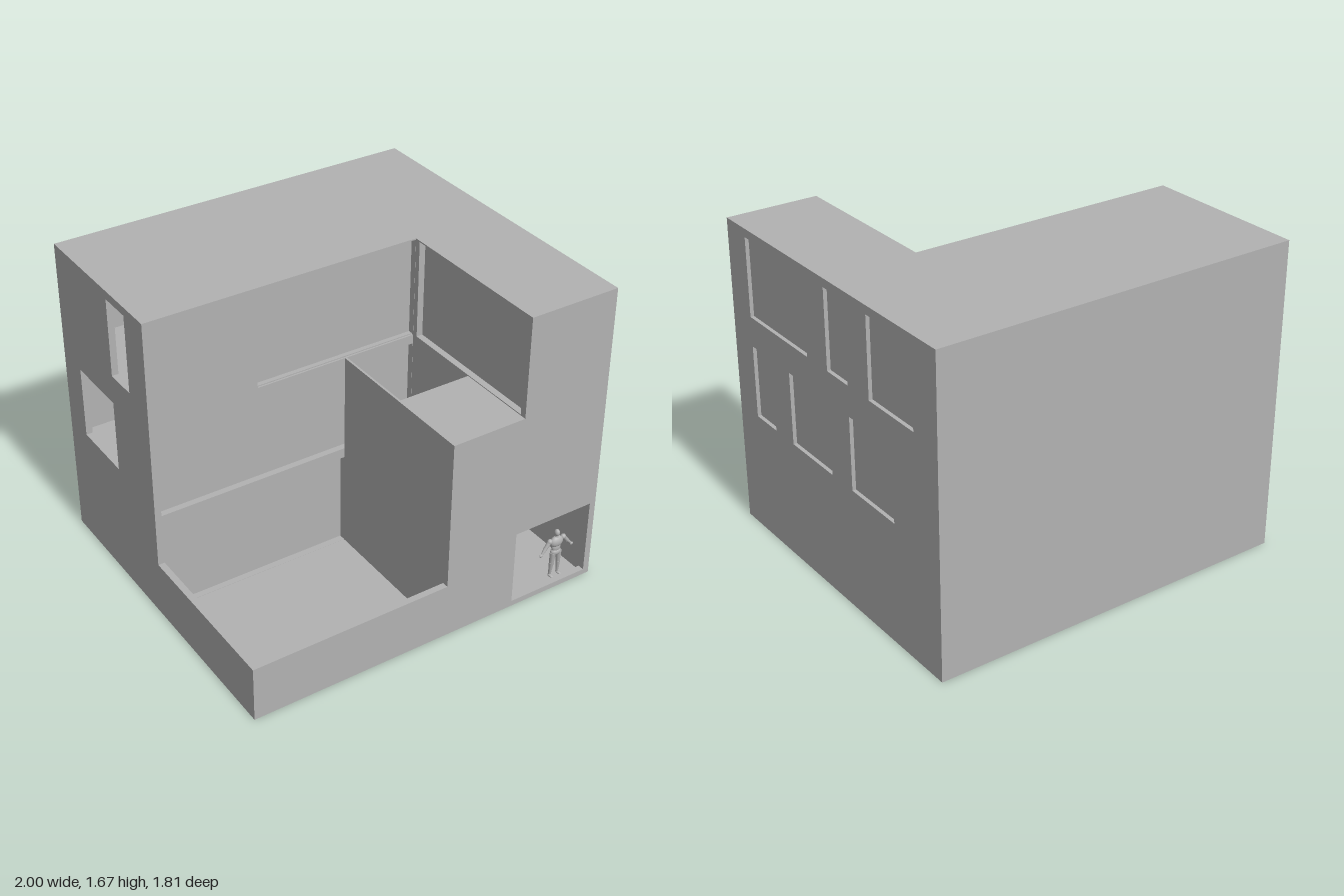
import * as THREE from 'three';

const D = 0.905;   // half depth
const T = 0.035;   // wall thickness
const ROOF = 1.675;

export function createModel() {
  const model = new THREE.Group();
  model.name = 'house';
  const gray = new THREE.MeshStandardMaterial({ color: 0xb2b2b2 });
  gray.name = 'plaster gray';

  const add = (name, geo, parent = model) => {
    const mesh = new THREE.Mesh(geo, gray);
    mesh.name = name;
    parent.add(mesh);
    return mesh;
  };
  // Box given by its limits on each axis
  const box = (name, x0, x1, y0, y1, z0, z1) => {
    const g = new THREE.BoxGeometry(x1 - x0, y1 - y0, z1 - z0);
    return add(name, g.translate((x0 + x1) / 2, (y0 + y1) / 2, (z0 + z1) / 2));
  };
  const toShape = (pts) => new THREE.Shape(pts.map(([a, b]) => new THREE.Vector2(a, b)));
  const rect = ([a0, a1, b0, b1]) => [[a0, b0], [a1, b0], [a1, b1], [a0, b1]];
  const extrude = (pts, holes, depth) => {
    const shape = toShape(pts);
    holes.forEach((h) => shape.holes.push(toShape(rect(h))));
    return new THREE.ExtrudeGeometry(shape, { depth, bevelEnabled: false });
  };
  // Wall facing z: outline in (x, y)
  const wallZ = (name, z, pts, holes = []) =>
    add(name, extrude(pts, holes, T).translate(0, 0, z));
  // Wall facing x: outline in (z, y)
  const wallX = (name, x, pts, holes = [], t = T) => {
    const flip = pts.map(([z, y]) => [-z, y]);
    const flipHoles = holes.map(([z0, z1, y0, y1]) => [-z1, -z0, y0, y1]);
    return add(name, extrude(flip, flipHoles, t).rotateY(Math.PI / 2).translate(x, 0, 0));
  };

  // Outer walls
  wallZ('frontWall', D - T, [[-1, 0], [1, 0], [1, ROOF], [0.5, ROOF], [0.5, 1.13],
    [0.09, 1.13], [0.09, 0.305], [-1, 0.305]], [[0.5, 0.97, 0.03, 0.45]]);
  wallZ('backWall', -D, rect([-1, 1, 0, ROOF]));
  wallX('leftWall', -1, [[-D, 0], [D, 0], [D, 0.305], [0, 0.305], [0, ROOF], [-D, ROOF]],
    [[-0.36, -0.18, 1.21, 1.63], [-0.73, -0.37, 0.66, 1.05]]);

  // Right wall with closed, recessed windows
  const windows = [
    [0.18, 0.73, 1.21, 1.63], [-0.18, 0, 1.21, 1.63], [-0.72, -0.36, 1.21, 1.63],
    [0.54, 0.73, 0.66, 1.05], [0, 0.37, 0.66, 1.05], [-0.54, -0.18, 0.66, 1.05],
  ];
  wallX('rightWall', 1 - T, rect([-D, D, 0, ROOF]), windows);
  windows.forEach(([z0, z1, y0, y1]) => box('windowPane', 0.967, 0.98, y0, y1, z0, z1));

  // Courtyard wall with three recessed openings, one per storey
  const openings = [
    [-0.97, 0.09, 0.006, 0.535], [-0.97, 0.499, 0.59, 1.08], [-0.41, 0.499, 1.13, 1.668],
  ];
  wallZ('courtyardWall', -T, rect([-0.999, 0.97, 0, 1.672]), openings);
  openings.forEach(([x0, x1, y0, y1]) =>
    box('glassWall', x0 - 0.005, x1 + 0.01, y0, y1, -T - 0.008, -T));

  // Inner side of the right wing: upper wall with a wide recessed opening
  wallX('upperWingWall', 0.5, rect([0, D - 0.001, 0.54, 1.672]), [[0.03, 0.87, 1.135, 1.668]]);
  box('upperWingPane', 0.535, 0.543, 1.12, 1.67, 0.02, 0.875);
  wallX('terraceSideWall', 0.09, rect([0, D - T, 0, 1.13]), [], 0.012);

  // Floors and balcony
  box('groundFloor', -0.99, 0.99, 0, 0.005, -D + 0.01, D - 0.01);
  for (const y of [0.535, 1.08]) {
    box('backFloorSlab', -0.97, 0.97, y, y + 0.055, -D + T, -0.01);
    box('wingFloorSlab', 0.5, 0.97, y, y + 0.05, -0.01, D - T);
  }
  box('balcony', 0.1, 0.51, 1.08, 1.13, 0.46, D - T);

  // L-shaped roof, laid flat from an outline in (x, -z)
  const roof = extrude([[-1, 0], [0.5, 0], [0.5, -D], [1, -D], [1, D], [-1, D]], [], 0.006);
  add('roof', roof.rotateX(-Math.PI / 2).translate(0, ROOF - 0.006, 0));

  // Standing person with arms held away from the body
  const person = new THREE.Group();
  person.name = 'person';
  person.position.set(0.833, 0.005, 0.83);
  model.add(person);
  const ball = (name, x, y, z, rx, ry, rz) =>
    add(name, new THREE.SphereGeometry(1, 14, 10).scale(rx, ry, rz).translate(x, y, z), person);
  const limb = (name, a, b, r0, r1) => {
    const from = new THREE.Vector3(...a), to = new THREE.Vector3(...b);
    const dir = to.clone().sub(from);
    const mesh = add(name, new THREE.CylinderGeometry(r1, r0, dir.length(), 10), person);
    mesh.position.copy(from).add(to).multiplyScalar(0.5);
    mesh.quaternion.setFromUnitVectors(new THREE.Vector3(0, 1, 0), dir.normalize());
  };
  ball('head', 0, 0.27, 0, 0.014, 0.02, 0.016);
  limb('neck', [0, 0.235, 0], [0, 0.26, 0], 0.011, 0.008);
  ball('chest', 0, 0.215, 0, 0.04, 0.033, 0.022);
  ball('waist', 0, 0.18, 0, 0.027, 0.03, 0.017);
  ball('hips', 0, 0.153, 0, 0.032, 0.022, 0.02);
  for (const s of [-1, 1]) {
    ball('shoulder', s * 0.043, 0.228, 0, 0.015, 0.015, 0.014);
    limb('upperArm', [s * 0.045, 0.228, 0], [s * 0.069, 0.195, 0], 0.012, 0.01);
    limb('forearm', [s * 0.069, 0.196, 0], [s * 0.092, 0.17, 0.004], 0.011, 0.006);
    ball('hand', s * 0.099, 0.163, 0.005, 0.01, 0.009, 0.005);
    limb('thigh', [s * 0.017, 0.15, 0], [s * 0.021, 0.08, 0], 0.018, 0.011);
    limb('calf', [s * 0.021, 0.085, 0], [s * 0.024, 0.01, -0.004], 0.013, 0.007);
    ball('foot', s * 0.026, 0.007, 0.006, 0.01, 0.007, 0.02);
  }
  return model;
}
